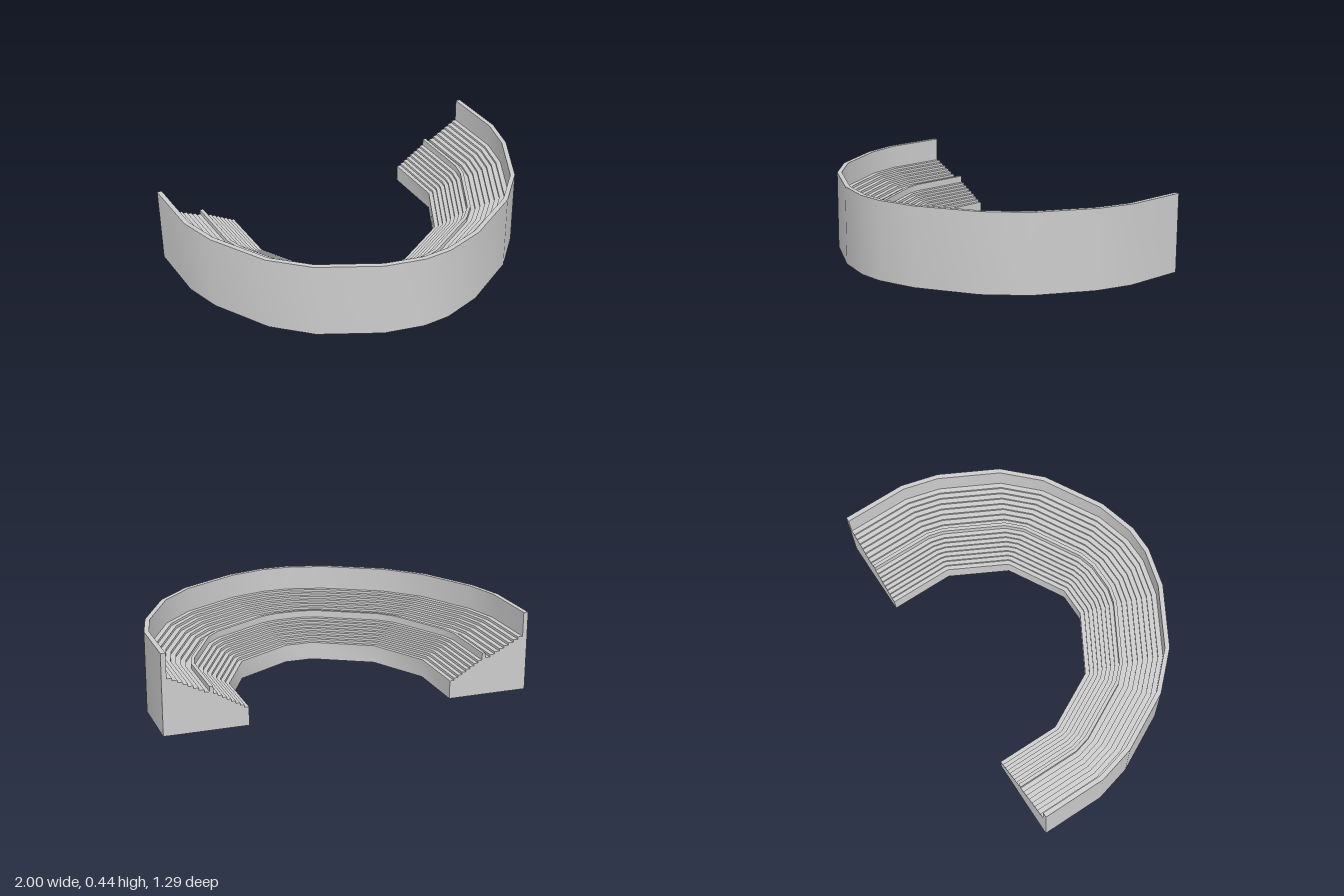
import * as THREE from 'three';
import { toCreasedNormals } from 'three/addons/utils/BufferGeometryUtils.js';

const DEPTH = 0.445;          // from the inner edge to the outer edge
const WALL = 0.026;           // thickness of the rear wall
const WALL_IN = DEPTH - WALL;
const PARAPET = [0.184, 0.203];

// Plan stations of the left half: [inner x, inner z, outer x, outer z].
// Inner corners repeat because each one fans out into a chamfer.
const half = [
  [0.555, -0.645, 1, -0.645],
  [0.555, -0.29, 1, -0.29],
  [0.555, -0.29, 0.947, -0.085],
  [0.392, 0.02, 0.785, 0.225],
  [0.392, 0.02, 0.602, 0.41],
  [0.08, 0.195, 0.29, 0.585],
  [0.08, 0.195, 0.075, 0.643],
];
const stations = [...half, ...half.slice().reverse().map(([a, b, c, d]) => [-a, b, -c, d])];

// Sweeps a counter-clockwise section of [depth, height] points round the plan
function sweep(name, section, material) {
  const rings = stations.map(([ix, iz, ox, oz]) => section.map(([r, y]) => {
    const t = r / DEPTH;
    return new THREE.Vector3(ix + (ox - ix) * t, y, iz + (oz - iz) * t);
  }));
  const pos = [];
  const tri = (a, b, c) => {
    if (new THREE.Triangle(a, b, c).getArea() < 1e-8) return;
    for (const p of [a, b, c]) pos.push(p.x, p.y, p.z);
  };
  const n = section.length;
  for (let s = 0; s < rings.length - 1; s++) {
    const A = rings[s], B = rings[s + 1];
    for (let i = 0; i < n; i++) {
      const j = (i + 1) % n;
      tri(A[i], A[j], B[j]);
      tri(A[i], B[j], B[i]);
    }
  }
  // End caps
  const first = rings[0], last = rings[rings.length - 1];
  const flat = section.map(([r, y]) => new THREE.Vector2(r, y));
  for (const [a, b, c] of THREE.ShapeUtils.triangulateShape(flat, [])) {
    tri(first[a], first[c], first[b]);
    tri(last[a], last[b], last[c]);
  }
  const geometry = new THREE.BufferGeometry();
  geometry.setAttribute('position', new THREE.Float32BufferAttribute(pos, 3));
  const mesh = new THREE.Mesh(toCreasedNormals(geometry, 0.6), material);
  mesh.name = name;
  return mesh;
}

// Points of a flight of steps, listed from the back row down to the front row
function steps(r0, r1, y0, rise, count) {
  const pts = [];
  const run = (r1 - r0) / count;
  for (let i = count - 1; i >= 0; i--) {
    pts.push([r0 + run * (i + 1), y0 + rise * i], [r0 + run * i, y0 + rise * i]);
  }
  return pts;
}

const box = (r0, r1, y0, y1) => [[r0, y0], [r1, y0], [r1, y1], [r0, y1]];

export function createModel() {
  const group = new THREE.Group();
  group.name = 'grandstand';
  const material = new THREE.MeshStandardMaterial({ color: 0xcccccc });

  // Two flights of seating rows on one solid base
  const terrace = [
    [0, 0], [WALL_IN, 0],
    ...steps(PARAPET[1], WALL_IN, 0.207, 0.0135, 8),
    [PARAPET[1], 0.195], [PARAPET[0], 0.195],
    ...steps(0, PARAPET[0], 0.1, 0.0135, 8).slice(1),
  ];
  group.add(sweep('seatingTerrace', terrace, material));

  // Low parapet between the flights, tall wall behind the last row
  group.add(sweep('middleParapet', box(PARAPET[0], PARAPET[1], 0.195, 0.234), material));
  group.add(sweep('rearWall', box(WALL_IN, DEPTH, 0, 0.435), material));
  return group;
}
